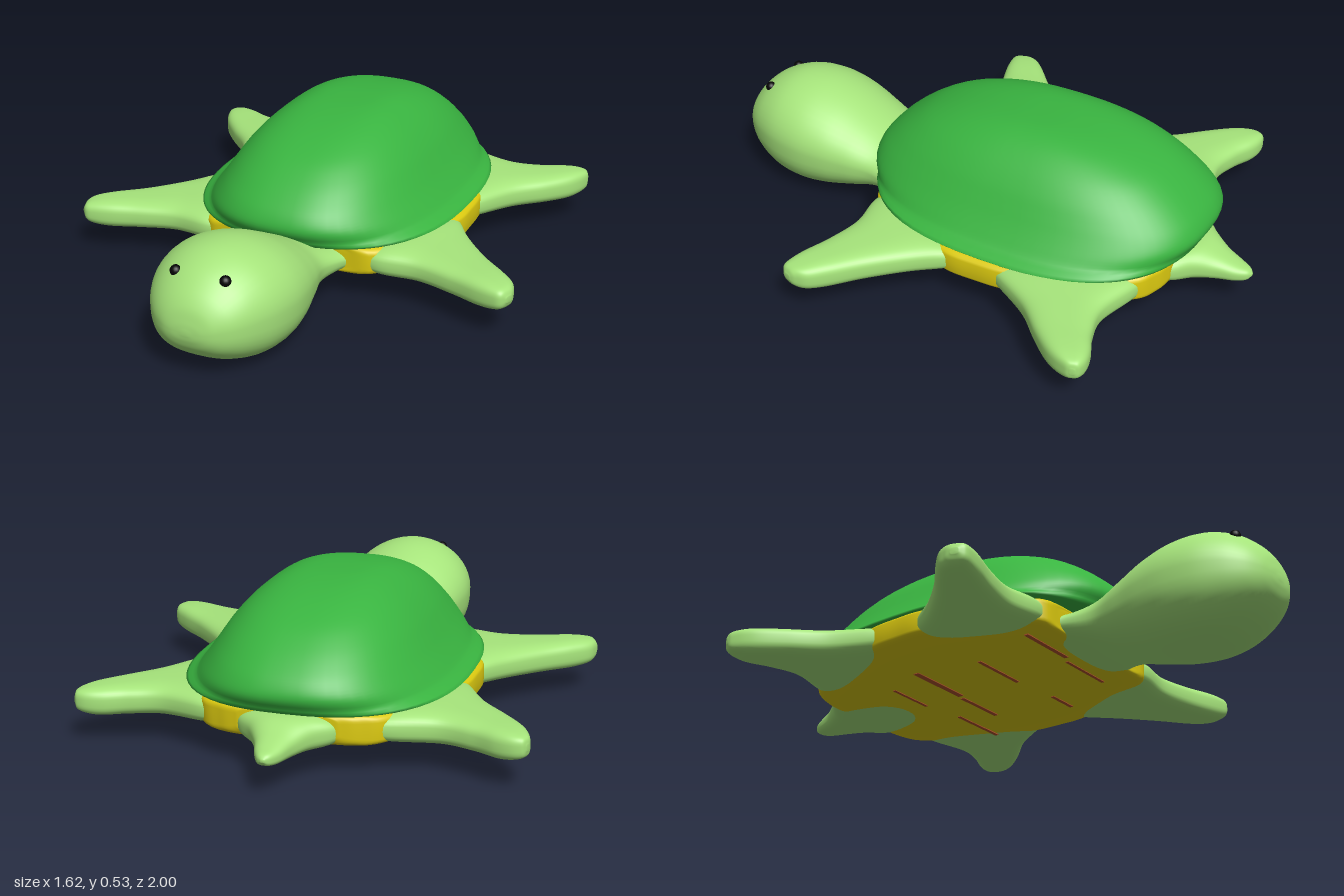
import * as THREE from 'three';

const paint = (name, color) => {
  const m = new THREE.MeshStandardMaterial({ color });
  m.name = name;
  return m;
};

// signed power, used for superellipse sections
const spow = (v, e) => Math.sign(v) * Math.pow(Math.abs(v), e);

// Skin a closed surface over a list of equal-length closed rings
function skin(rings) {
  const n = rings[0].length, pos = [], idx = [];
  rings.forEach((r) => r.forEach((p) => pos.push(p.x, p.y, p.z)));
  for (let i = 0; i < rings.length - 1; i++) {
    for (let j = 0; j < n; j++) {
      const k = (j + 1) % n;
      const a = i * n + j, b = i * n + k, c = a + n, d = b + n;
      idx.push(a, c, b, b, c, d);
    }
  }
  // end caps
  [0, rings.length - 1].forEach((i) => {
    const mid = new THREE.Vector3();
    rings[i].forEach((p) => mid.addScaledVector(p, 1 / n));
    const m = pos.length / 3;
    pos.push(mid.x, mid.y, mid.z);
    for (let j = 0; j < n; j++) {
      const a = i * n + j, b = i * n + ((j + 1) % n);
      if (i === 0) idx.push(m, a, b);
      else idx.push(m, b, a);
    }
  });
  // turn the faces outwards if the enclosed volume is negative
  const at = (i) => new THREE.Vector3().fromArray(pos, i * 3);
  let volume = 0;
  for (let t = 0; t < idx.length; t += 3) {
    volume += at(idx[t]).dot(at(idx[t + 1]).cross(at(idx[t + 2])));
  }
  if (volume < 0) idx.reverse();
  const g = new THREE.BufferGeometry();
  g.setAttribute('position', new THREE.Float32BufferAttribute(pos, 3));
  g.setIndex(idx);
  g.computeVertexNormals();
  return g;
}

// Loft through sections [ax, az, bx, bz, yLow, yHigh]: two edge points and a height range
function loft(sections, power, topPower = power, steps = 54, segs = 48) {
  const curve = (o) => new THREE.CatmullRomCurve3(
    sections.map((s) => new THREE.Vector3(s[o], s[o + 1], s[o + 2])), false, 'catmullrom', 0.5);
  const first = curve(0), second = curve(3), rings = [];
  for (let i = 0; i <= steps; i++) {
    const p = first.getPoint(i / steps), q = second.getPoint(i / steps);
    const [ax, az, bx, bz, y0, y1] = [p.x, p.y, p.z, q.x, q.y, q.z];
    const ring = [];
    for (let j = 0; j < segs; j++) {
      const t = (j / segs) * Math.PI * 2;
      const e = 2 / (j < segs / 2 ? topPower : power);
      const u = spow(Math.cos(t), e) / 2, v = spow(Math.sin(t), e) / 2;
      ring.push(new THREE.Vector3(
        (ax + bx) / 2 + u * (bx - ax), (y0 + y1) / 2 + v * (y1 - y0), (az + bz) / 2 + u * (bz - az)));
    }
    rings.push(ring);
  }
  return skin(rings);
}

// symmetric sections [z, halfWidth, yLow, yHigh] along the body axis
const along = (rows) => rows.map(([z, w, y0, y1]) => [-w, z, w, z, y0, y1]);

export function createModel() {
  const group = new THREE.Group();
  const skinGreen = paint('light green', 0xa6e47b);
  const shellGreen = paint('shell green', 0x39b440);
  const yellow = paint('belly yellow', 0xdcca10);
  const brown = paint('seam brown', 0xb0542a);
  const black = paint('eye black', 0x050505);

  const add = (name, geometry, material) => {
    const mesh = new THREE.Mesh(geometry, material);
    mesh.name = name;
    group.add(mesh);
    return mesh;
  };

  // Domed shell: superellipse rings [y, half width, half length]
  const levels = [
    [0.205, 0.3, 0.4], [0.205, 0.47, 0.57], [0.235, 0.43, 0.605], [0.27, 0.4, 0.62], [0.31, 0.37, 0.605],
    [0.35, 0.343, 0.57], [0.4, 0.308, 0.51], [0.45, 0.262, 0.43], [0.49, 0.21, 0.325],
    [0.515, 0.16, 0.215], [0.527, 0.11, 0.11], [0.53, 0.05, 0.04],
  ];
  const shellCurve = new THREE.CatmullRomCurve3(
    levels.map(([y, rx, rz]) => new THREE.Vector3(rx, y, rz)), false, 'catmullrom', 0.5);
  const shellRings = shellCurve.getPoints(44).map((p) => {
    const ring = [];
    for (let j = 0; j < 64; j++) {
      const t = (j / 64) * Math.PI * 2;
      ring.push(new THREE.Vector3(
        p.x * spow(Math.cos(t), 0.8), p.y, -0.22 + p.z * spow(Math.sin(t), 0.8)));
    }
    return ring;
  });
  add('shell', skin(shellRings), shellGreen);

  // Flat belly under the shell
  add('belly', loft(along([
    [0.295, 0.2, 0.125, 0.19], [0.275, 0.32, 0.1, 0.207], [0.1, 0.41, 0.097, 0.212],
    [-0.08, 0.477, 0.097, 0.212], [-0.2, 0.484, 0.097, 0.212], [-0.33, 0.472, 0.097, 0.212],
    [-0.5, 0.41, 0.097, 0.212], [-0.7, 0.315, 0.099, 0.21], [-0.755, 0.23, 0.105, 0.207],
    [-0.775, 0.16, 0.125, 0.2],
  ]), 6), yellow);

  // Thin broken seams across the belly: [z, from x, to x, width]
  [
    [0.2, -0.28, -0.05, 0.016], [0.18, -0.02, 0.2, 0.012], [-0.04, 0.2, 0.32, 0.014],
    [-0.06, -0.2, 0.02, 0.014], [-0.3, -0.25, 0.0, 0.022], [-0.31, 0.02, 0.22, 0.016],
    [-0.43, 0.15, 0.38, 0.014], [-0.46, -0.18, 0.0, 0.012],
  ].forEach(([z, x0, x1, w]) => {
    const seam = add('bellySeam', new THREE.BoxGeometry(x1 - x0, 0.004, w), brown);
    seam.position.set((x0 + x1) / 2, 0.0965, z);
  });

  // Head and neck
  add('headAndNeck', loft(along([
    [0.21, 0.25, 0.102, 0.195], [0.25, 0.245, 0.093, 0.2], [0.31, 0.21, 0.086, 0.212],
    [0.4, 0.186, 0.065, 0.252], [0.5, 0.208, 0.037, 0.306], [0.6, 0.232, 0.014, 0.354],
    [0.7, 0.241, 0.004, 0.382], [0.8, 0.226, 0.013, 0.383], [0.885, 0.19, 0.042, 0.353],
    [0.945, 0.146, 0.078, 0.306], [0.98, 0.1, 0.113, 0.26], [0.995, 0.06, 0.145, 0.215],
    [1.0, 0.012, 0.17, 0.185],
  ]), 2.6, 1.95, 66), skinGreen);

  // Tail, running a little way under the belly
  add('tail', loft(along([
    [-0.54, 0.09, 0.098, 0.17], [-0.6, 0.145, 0.093, 0.19], [-0.7, 0.185, 0.093, 0.207],
    [-0.77, 0.165, 0.094, 0.208], [-0.83, 0.105, 0.095, 0.203], [-0.89, 0.066, 0.096, 0.178],
    [-0.95, 0.043, 0.1, 0.157], [-0.985, 0.024, 0.108, 0.146], [-1.0, 0.006, 0.123, 0.133],
  ]), 3, 2.4), skinGreen);

  // Flippers and eyes, mirrored left and right
  const frontFlipper = [
    [0.45, -0.15, 0.24, 0.27, 0.102, 0.2], [0.488, -0.09, 0.33, 0.288, 0.094, 0.21],
    [0.55, 0.0, 0.46, 0.272, 0.093, 0.204], [0.65, 0.11, 0.59, 0.3, 0.093, 0.198],
    [0.74, 0.19, 0.69, 0.333, 0.095, 0.196], [0.79, 0.24, 0.75, 0.347, 0.104, 0.19],
    [0.806, 0.28, 0.78, 0.347, 0.118, 0.18], [0.808, 0.305, 0.8, 0.33, 0.14, 0.16],
  ];
  const backFlipper = [
    [0.45, -0.24, 0.22, -0.73, 0.102, 0.2], [0.484, -0.3, 0.31, -0.718, 0.094, 0.21],
    [0.56, -0.43, 0.46, -0.675, 0.093, 0.204], [0.65, -0.525, 0.57, -0.695, 0.093, 0.198],
    [0.71, -0.595, 0.65, -0.73, 0.095, 0.195], [0.74, -0.645, 0.7, -0.742, 0.104, 0.19],
    [0.755, -0.69, 0.735, -0.738, 0.118, 0.18], [0.755, -0.71, 0.75, -0.725, 0.14, 0.16],
  ];
  [['left', 1], ['right', -1]].forEach(([side, s]) => {
    const mirror = (rows) => rows.map(([ax, az, bx, bz, y0, y1]) => [s * ax, az, s * bx, bz, y0, y1]);
    add(side + 'FrontFlipper', loft(mirror(frontFlipper), 3), skinGreen);
    add(side + 'BackFlipper', loft(mirror(backFlipper), 3), skinGreen);
    add(side + 'Eye', new THREE.SphereGeometry(0.019, 16, 12), black).position.set(s * 0.087, 0.326, 0.893);
  });

  return group;
}
